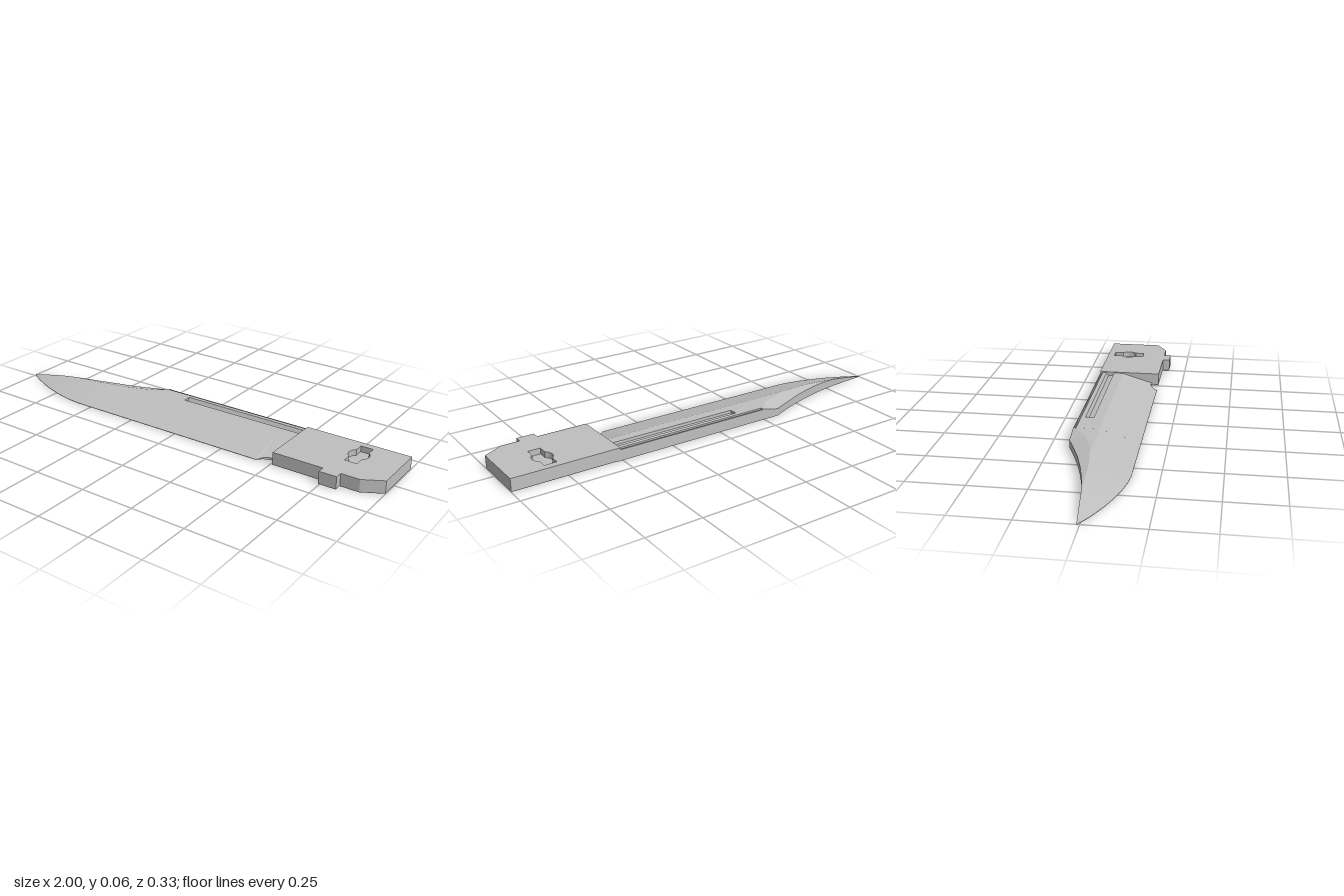
import * as THREE from 'three';
import { toCreasedNormals } from 'three/addons/utils/BufferGeometryUtils.js';

const SLOPE = 0.3;   // main bevel
const FLAT = 0.055;  // blade thickness

// Piecewise-linear lookup in a list of [x, value]
function at(table, x) {
  for (let i = 1; i < table.length; i++) {
    const [x0, v0] = table[i - 1], [x1, v1] = table[i];
    if (x <= x1) return v0 + (v1 - v0) * (x - x0) / (x1 - x0);
  }
  return table[table.length - 1][1];
}

// Plan curves of the blade (z along x)
const spine = [[-1, -0.012], [-0.9, -0.02], [-0.8, -0.03], [-0.7, -0.047], [-0.6, -0.071],
  [-0.5, -0.101], [-0.42, -0.13], [-0.33, -0.167], [0.6, -0.167]];
const edge = [[-1, -0.008], [-0.95, 0.022], [-0.9, 0.046], [-0.85, 0.068], [-0.8, 0.086],
  [-0.75, 0.102], [-0.7, 0.115], [-0.64, 0.127], [-0.58, 0.133], [0.6, 0.133]];
const ridge = [[-1, -0.012], [-0.8, -0.03], [-0.6, -0.036], [-0.45, -0.05], [0.6, -0.05]];
const clip = [[-1, -0.012], [-0.8, -0.03], [-0.6, -0.036], [-0.45, -0.055], [-0.38, -0.077],
  [-0.3, -0.11], [-0.24, -0.167], [0.6, -0.167]];
const choil = [[0.43, 0.133], [0.437, 0.122], [0.45, 0.111], [0.465, 0.102], [0.485, 0.097],
  [0.51, 0.1], [0.53, 0.1]];

const bevelY = (x, z) => Math.max(0.002, Math.min(FLAT, SLOPE * (at(edge, x) - z)));

// Upper profile of the tip: clip bevel, flat and main bevel
function tipProfile(x) {
  const zs = at(spine, x), zr = at(ridge, x), ze = at(edge, x);
  const zc = Math.max(zs, at(clip, x));
  const yc = bevelY(x, zc);
  return [[zs, Math.max(0.002, yc - 0.28 * (zc - zs))], [zc, yc], [zr, bevelY(x, zr)], [ze, 0.002]];
}

// Upper profile of the straight part, with a thin spine slot and an optional wide groove
function bodyProfile(x, grooved) {
  const ze = x < 0.43 ? 0.133 : at(choil, x);
  const p = [[-0.167, FLAT - 0.004], [-0.163, FLAT - 0.003], [-0.162, FLAT - 0.012],
    [-0.156, FLAT - 0.012], [-0.155, FLAT]];
  if (grooved) p.push([-0.135, FLAT], [-0.126, FLAT - 0.017], [-0.098, FLAT - 0.013], [-0.097, FLAT]);
  p.push([-0.05, FLAT], [ze, bevelY(x, ze)]);
  return p;
}

// Solid between upper profiles and the flat underside
function loft(xs, profile) {
  const pos = [], idx = [];
  const n = profile(xs[0]).length, ring = 2 * n;
  for (const x of xs) {
    const top = profile(x);
    for (const [z, y] of top) pos.push(x, y, z);
    for (const [z] of [...top].reverse()) pos.push(x, 0, z);
  }
  for (let i = 0; i < xs.length - 1; i++) {
    for (let j = 0; j < ring; j++) {
      const k = (j + 1) % ring;
      const a = i * ring + j, b = i * ring + k, c = b + ring, d = a + ring;
      idx.push(a, b, c, a, c, d);
    }
  }
  const last = (xs.length - 1) * ring;
  for (let j = 0; j < n - 1; j++) {
    const t = j, u = j + 1, b = ring - 1 - j, v = b - 1;
    idx.push(t, b, u, u, b, v);
    idx.push(last + b, last + t, last + u, last + b, last + u, last + v);
  }
  const g = new THREE.BufferGeometry();
  g.setAttribute('position', new THREE.Float32BufferAttribute(pos, 3));
  g.setIndex(idx);
  return toCreasedNormals(g, 0.2);
}

// Upright slab from a plan shape drawn in (x, -z)
function slab(shape, y0, y1, bevel = 0) {
  const g = new THREE.ExtrudeGeometry(shape, {
    depth: y1 - y0 - 2 * bevel, curveSegments: 12, bevelEnabled: bevel > 0,
    bevelSize: bevel, bevelThickness: bevel, bevelOffset: -bevel, bevelSegments: 3,
  });
  g.rotateX(-Math.PI / 2);
  g.translate(0, y0 + bevel, 0);
  return g;
}

const planShape = (pts) => new THREE.Shape(pts.map(([x, z]) => new THREE.Vector2(x, -z)));

export function createModel() {
  const group = new THREE.Group();
  const steel = new THREE.MeshStandardMaterial({ color: 0xbfbfbf });
  steel.name = 'steel grey';
  const add = (name, geometry) => {
    const mesh = new THREE.Mesh(geometry, steel);
    mesh.name = name;
    group.add(mesh);
  };

  // Blade in three lengths
  const tipXs = [...new Set([...spine, ...edge, ...ridge, ...clip].map((p) => p[0]))]
    .filter((x) => x <= -0.24).sort((a, b) => a - b);
  add('bladeTip', loft(tipXs, tipProfile));
  add('bladeMiddle', loft([-0.24, -0.11], (x) => bodyProfile(x, false)));
  add('bladeBase', loft([-0.11, ...choil.map((p) => p[0])], (x) => bodyProfile(x, true)));

  // Tang block with cut corner and side tab
  const outline = [[0.51, 0.133], [0.745, 0.133], [0.745, 0.167], [0.825, 0.167], [0.825, 0.133],
    [0.91, 0.133], [1, 0.083], [1, -0.167], [0.51, -0.167]];
  add('tangBase', slab(planShape(outline), 0, 0.033, 0.005));

  // Upper half has a keyhole slot: a rectangle with a round middle
  const cx = 0.8125, cz = -0.058, r = 0.045, w = 0.028;
  const a = Math.acos(w / r);
  const slot = new THREE.Path();
  slot.moveTo(cx + w, 0.135);
  slot.lineTo(cx - w, 0.135);
  slot.absarc(cx, -cz, r, Math.PI - a, Math.PI + a, false);
  slot.lineTo(cx - w, -0.02);
  slot.lineTo(cx + w, -0.02);
  slot.absarc(cx, -cz, r, -a, a, false);
  slot.closePath();
  const upper = planShape(outline);
  upper.holes.push(slot);
  add('tangTop', slab(upper, 0.028, 0.06));

  return group;
}
